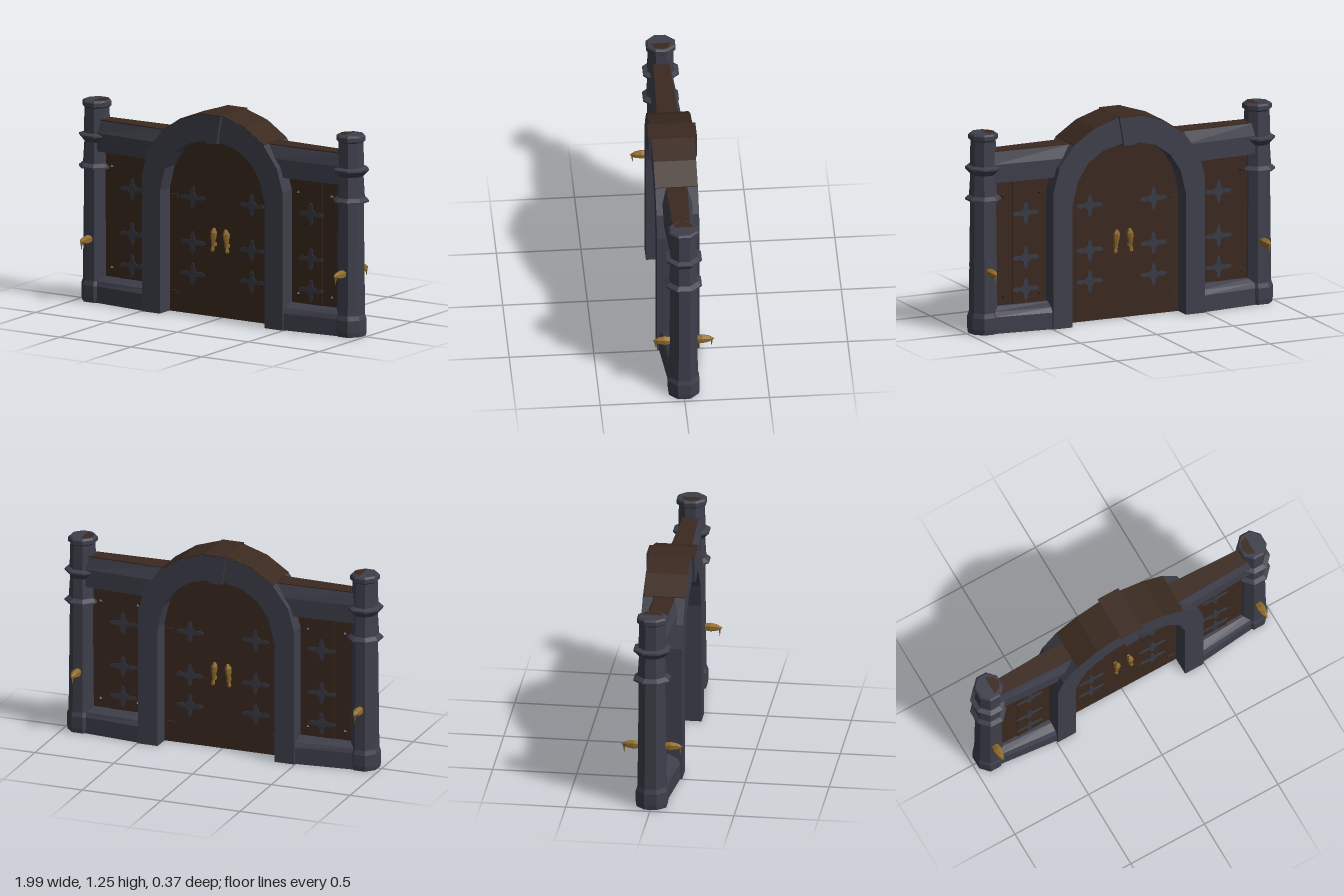
import * as THREE from 'three';

const mat = (name, color) => Object.assign(new THREE.MeshStandardMaterial({ color }), { name });

export function createModel() {
  const stone = mat('slate stone', 0x3e3f4b);
  const iron = mat('dark slate', 0x393b46);
  const wood = mat('dark wood', 0x3a291f);
  const gold = mat('aged brass', 0x8f6a2a);
  const root = new THREE.Group();
  root.name = 'gate';

  const add = (parent, name, geo, material, x = 0, y = 0, z = 0) => {
    let g = geo;
    if (g.index) g = g.toNonIndexed();
    g.computeVertexNormals(); // faceted look
    const m = new THREE.Mesh(g, material);
    m.name = name;
    m.position.set(x, y, z);
    parent.add(m);
    return m;
  };
  const vec = pts => pts.map(p => new THREE.Vector2(p[0], p[1]));
  // flat outline in x/y, centred on z
  const slab = (pts, halfDepth) => new THREE.ExtrudeGeometry(new THREE.Shape(vec(pts)),
    { depth: halfDepth * 2, bevelEnabled: false }).translate(0, 0, -halfDepth);
  // z/y section running along x, its depth tapering from 1 to endScale
  const taperBar = (section, x0, x1, endScale) => {
    const g = new THREE.ExtrudeGeometry(new THREE.Shape(vec(section)), { depth: x1 - x0, bevelEnabled: false });
    g.rotateY(Math.PI / 2).translate(x0, 0, 0);
    const p = g.attributes.position;
    for (let i = 0; i < p.count; i++) {
      const t = (p.getX(i) - x0) / (x1 - x0);
      p.setZ(i, p.getZ(i) * (1 + (endScale - 1) * t));
    }
    return g;
  };
  const mirrored = half => [...half.map(p => [-p[0], p[1]]), ...half.slice().reverse()];

  // Arch: legs and ring, inner and outer outlines listed from the foot up
  const outer = [[0.495, 0], [0.495, 0.83], [0.455, 0.97], [0.36, 1.1], [0.225, 1.19], [0.07, 1.24]];
  const inner = [[0.37, 0], [0.37, 0.74], [0.335, 0.88], [0.27, 0.98], [0.17, 1.05], [0.05, 1.08]];
  const arch = new THREE.Group();
  arch.name = 'arch';
  root.add(arch);
  add(arch, 'archRing', slab([...mirrored(outer), ...mirrored(inner).reverse()], 0.126), stone);
  const crown = outer.slice(3);
  const lifted = crown.map(p => [p[0], p[1] + 0.004]);
  add(arch, 'archTopCover', slab([...mirrored(lifted), ...mirrored(crown).reverse()], 0.125), wood);
  add(arch, 'keystone', slab([[-0.04, 1.07], [0.04, 1.07], [0.07, 1.24], [-0.07, 1.24]], 0.143), stone);
  add(arch, 'keystoneTop', new THREE.BoxGeometry(0.14, 0.005, 0.286), wood, 0, 1.2425, 0);

  // Four-armed flared ornament
  const cross = [];
  for (let k = 0; k < 4; k++) {
    const a = k * Math.PI / 2, L = k % 2 ? 0.066 : 0.085;
    for (const [r, w] of [[0.02, -0.02], [0.034, -0.011], [L - 0.022, -0.014], [L, -0.006],
      [L, 0.006], [L - 0.022, 0.014], [0.034, 0.011]]) {
      cross.push([r * Math.cos(a) - w * Math.sin(a), r * Math.sin(a) + w * Math.cos(a)]);
    }
  }
  const crosses = (parent, x, z) => {
    for (const s of [1, -1]) for (const y of [0.24, 0.43, 0.7]) {
      add(parent, 'crossOrnament', slab(cross, 0.004), iron, x, y, s * z);
    }
  };

  // Octagonal post profile: radius, height
  const post = [[0, 0], [0.082, 0], [0.086, 0.03], [0.086, 0.1], [0.078, 0.125],
    [0.077, 0.13], [0.07, 0.8], [0.098, 0.805], [0.098, 0.815], [0.076, 0.835], [0.069, 0.96],
    [0.098, 0.995], [0.098, 1.005], [0.072, 1.015], [0.068, 1.165], [0.08, 1.175], [0.08, 1.2],
    [0.07, 1.21], [0, 1.21]];

  // One side of the gate; the other is the same turned half a circle
  const buildSide = side => {
    const g = new THREE.Group();
    g.name = side + 'Side';
    root.add(g);

    // Door leaf, set deep in the arch
    const leaf = [[0, 0], ...inner.map(p => [p[0] + 0.005, p[1]]), [0, 1.085]];
    add(g, 'doorLeaf', slab(leaf, 0.018), wood);
    crosses(g, 0.208, 0.019);

    // Wall: planks, base course and coping
    add(g, 'wallPanel', new THREE.BoxGeometry(0.25, 0.8, 0.05), wood, 0.585, 0.52, 0);
    add(g, 'wallEndPlank', new THREE.BoxGeometry(0.14, 0.8, 0.036), wood, 0.78, 0.52, 0);
    crosses(g, 0.63, 0.026);
    add(g, 'wallBase', taperBar([[-0.118, 0], [0.118, 0], [0.118, 0.1], [0.1, 0.13], [0.05, 0.155],
      [-0.05, 0.155], [-0.1, 0.13], [-0.118, 0.1]], 0.46, 0.87, 0.64), stone);
    add(g, 'wallCoping', taperBar([[-0.09, 0.91], [0.09, 0.91], [0.092, 1.02], [0.064, 1.095],
      [-0.064, 1.095], [-0.092, 1.02]], 0.36, 0.87, 0.68), stone);
    add(g, 'copingTop', taperBar([[-0.064, 1.094], [0.064, 1.094], [0.064, 1.1], [-0.064, 1.1]],
      0.34, 0.87, 0.72), wood);

    // Post, with a worn wooden patch on the inner half of its cap
    const lathe = new THREE.LatheGeometry(vec(post.map(p => [p[0] * 1.082, p[1]])), 8, Math.PI / 8);
    add(g, 'post', lathe.scale(1, 1, 1.08), stone, 0.895, 0, 0);
    const patch = new THREE.CircleGeometry(0.06, 4, Math.PI / 2, Math.PI).rotateX(-Math.PI / 2);
    add(g, 'capPatch', patch, wood, 0.885, 1.212, 0);

    for (const s of [1, -1]) {
      // Panel bolts
      for (const y of [0.21, 0.82]) for (const x of [0.54, 0.775]) {
        add(g, 'bolt', new THREE.OctahedronGeometry(0.014), wood, x, y, s * 0.024);
      }
      // Door hinges
      for (const y of [0.12, 0.7]) {
        add(g, 'hinge', new THREE.BoxGeometry(0.05, 0.02, 0.015), wood, 0.335, y, s * 0.022);
      }
      // Door handle: grip and two mounts
      const grip = new THREE.LatheGeometry(vec([[0, -0.075], [0.013, -0.06], [0.008, -0.03],
        [0.018, 0.02], [0.02, 0.05], [0.008, 0.075], [0, 0.078]]), 6);
      add(g, 'handleGrip', grip, gold, 0.047, 0.465, s * 0.045).rotation.z = 0.08;
      for (const y of [0.44, 0.505]) {
        add(g, 'handleMount', new THREE.BoxGeometry(0.018, 0.018, 0.04), gold, 0.045, y, s * 0.03);
      }
      // Post hook: tapering horn with a hanging tip
      const horn = new THREE.LatheGeometry(vec([[0, 0], [0.022, 0.005], [0.028, 0.04],
        [0.02, 0.08], [0, 0.112]]), 6);
      horn.rotateX(s * Math.PI / 2);
      add(g, 'postHook', horn, gold, 0.895, 0.38, s * 0.072);
      const tip = new THREE.ConeGeometry(0.01, 0.06, 5).rotateX(Math.PI);
      add(g, 'postHookTip', tip, gold, 0.895, 0.354, s * 0.166);
    }
    return g;
  };
  buildSide('left');
  buildSide('right').rotation.y = Math.PI;

  return root;
}
